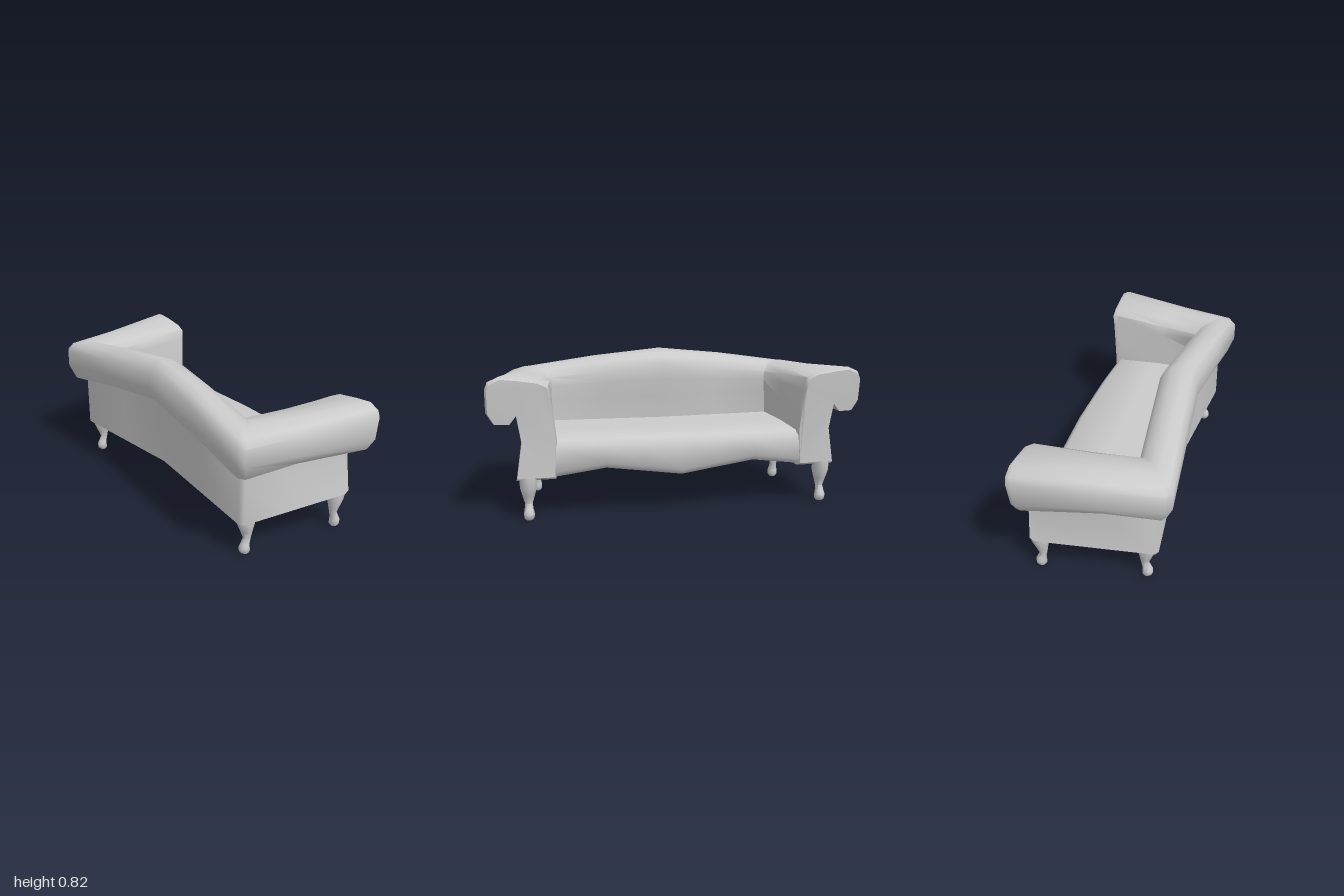
import * as THREE from 'three';
import { toCreasedNormals } from 'three/addons/utils/BufferGeometryUtils.js';

const material = new THREE.MeshStandardMaterial({ color: 0xcccccc });

// Skin a row of closed rings; capped ends are triangulated in the z-y plane and face +x
function loft(rings, capEnds = false) {
  const n = rings[0].length, pos = rings.flat(2), index = [];
  for (let i = 0; i < rings.length - 1; i++)
    for (let j = 0; j < n; j++) {
      const a = i * n + j, b = i * n + (j + 1) % n;
      index.push(a, a + n, b, b, a + n, b + n);
    }
  if (capEnds) for (const i of [0, rings.length - 1]) {
    const flat = rings[i].map(p => new THREE.Vector2(p[2], p[1]));
    for (const [a, b, c] of THREE.ShapeUtils.triangulateShape(flat, [])) {
      const turn = flat[b].clone().sub(flat[a]).cross(flat[c].clone().sub(flat[a]));
      if (turn < 0) index.push(i * n + a, i * n + b, i * n + c);
      else index.push(i * n + a, i * n + c, i * n + b);
    }
  }
  const g = new THREE.BufferGeometry();
  g.setAttribute('position', new THREE.Float32BufferAttribute(pos, 3));
  g.setIndex(index);
  return toCreasedNormals(g, 0.95);
}

function part(name, geometry) {
  const mesh = new THREE.Mesh(geometry, material);
  mesh.name = name;
  return mesh;
}

// Profiles run from the inner foot, up and over the roll, to the outer foot
const armFront = [[.66, .21], [.65, .41], [.665, .55], [.68, .64], [.69, .7], [.74, .725], [.85, .742], [.93, .75],
  [.985, .725], [1, .69], [1, .57], [.965, .51], [.89, .507], [.853, .555], [.83, .41], [.86, .21]];
const corner = [[.015, .21], [.015, .41], [.008, .55], [.002, .62], [.005, .67], [.04, .71], [.1, .725], [.15, .725],
  [.215, .7], [.24, .665], [.24, .57], [.205, .49], [.165, .495], [.15, .505], [.15, .41], [.15, .2]];
const backMiddle = [[.16, .21], [.15, .41], [.13, .55], [.115, .65], [.107, .73], [.13, .78], [.17, .802], [.24, .82],
  [.28, .8], [.31, .75], [.32, .67], [.29, .6], [.26, .6], [.245, .61], [.24, .41], [.235, .21]];

// Back and both rolled arms as one U-shaped sweep
function backAndArms() {
  const mix = THREE.MathUtils.lerp;
  const frontX = y => .347 + .026 * THREE.MathUtils.clamp((y - .5) / .2, 0, 1);
  const face = armFront.map(([z, y]) => [frontX(y), .5 + (y - .5) * .95, .81 + (z - .81) * .95]);
  const front = armFront.map(([z, y]) => [frontX(y) - .025, y, z]);
  const armCorner = corner.map(([o, y]) => [-.165 - o * .8, y, .63 + o]);
  const backCorner = corner.map(([o, y]) => [-.165 - o * .9, y, .63 + o * .84]);
  const middle = backMiddle.map(([o, y]) => [-o, y, 0]);
  const between = (a, b, t, rise) => a.map((p, j) => [
    mix(p[0], b[j][0], t),
    mix(p[1], b[j][1], t) + rise(j),
    mix(p[2], b[j][2], t)]);
  const armMid = between(front, armCorner, .58, j => j > 10 && j < 14 ? .018 : j > 4 && j < 9 ? -.006 : 0);
  const backMid = between(backCorner, middle, .5, j => j > 4 && j < 14 ? .008 : 0);
  const half = [face, front, armMid, armCorner, backCorner, backMid];
  const mirrored = half.map(r => r.map(([x, y, z]) => [x, y, -z])).reverse();
  return loft([...half, middle, ...mirrored], true);
}

// Seat with a bowed front rail and a scalloped lower edge: z, front x, rail bottom y
function seat() {
  const half = [[.74, .335, .212], [.66, .345, .22], [.4, .365, .258], [.2, .372, .232]];
  const stations = [...half.map(([z, f, b]) => [-z, f, b]), [0, .378, .205], ...half.slice().reverse()];
  return loft(stations.map(([z, f, b]) => [
    [-.2, .422, z], [.1, .42, z], [f - .035, .408, z], [f - .006, .38, z],
    [f, b + .03, z], [f - .03, b, z], [.1, (b + .205) / 2, z], [-.2, .205, z]]));
}

// Cabriole leg: height, forward offset, x radius, z radius
function leg(direction) {
  const rows = [[0, .002, .001, .001], [0, .002, .017, .018], [.012, .004, .028, .027], [.035, .006, .028, .029],
    [.055, .001, .023, .024], [.085, -.01, .02, .02], [.13, -.005, .033, .033], [.175, 0, .048, .045], [.23, 0, .05, .045]];
  return loft(rows.map(([y, c, rx, rz]) => Array.from({ length: 10 }, (_, k) => {
    const a = k * Math.PI / 5;
    return [direction * c + rx * Math.cos(a), y, rz * Math.sin(a)];
  })));
}

export function createModel() {
  const sofa = new THREE.Group();
  sofa.name = 'sofa';
  sofa.add(part('backAndArms', backAndArms()), part('seat', seat()));
  for (const side of [1, -1])
    for (const [name, x, z, dir] of [['frontLeg', .314, .802, 1], ['backLeg', -.232, .73, -1]]) {
      const mesh = part(name, leg(dir));
      mesh.position.set(x, 0, side * z);
      sofa.add(mesh);
    }
  return sofa;
}
